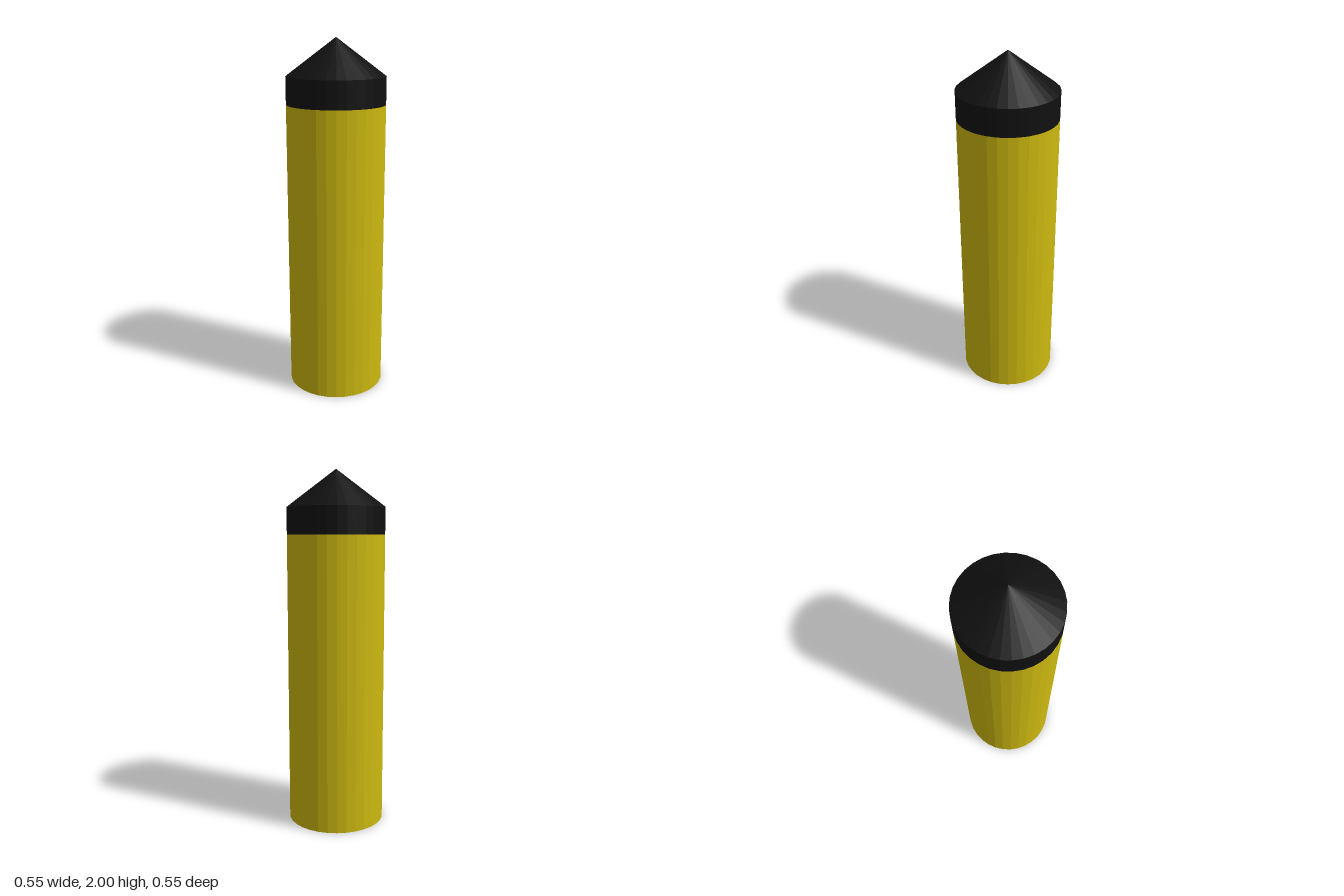
import * as THREE from 'three';

const RADIUS = 0.274;
const SIDES = 32;

export function createModel() {
  const model = new THREE.Group();
  model.name = 'pointedPost';

  const yellow = new THREE.MeshStandardMaterial({ color: 0xccb810, flatShading: true });
  const black = new THREE.MeshStandardMaterial({ color: 0x111111, flatShading: true });

  // Solid of revolution from a list of [radius, height] points
  const addTurned = (name, profile, material) => {
    const points = profile.map(([r, y]) => new THREE.Vector2(r, y));
    const mesh = new THREE.Mesh(new THREE.LatheGeometry(points, SIDES), material);
    mesh.name = name;
    model.add(mesh);
  };

  // Tall faceted shaft with a closed base
  addTurned('shaft', [[0, 0], [RADIUS, 0], [RADIUS, 1.645]], yellow);

  // Dark cap: short straight band below a cone
  addTurned('cap', [[RADIUS, 1.645], [RADIUS, 1.795], [0, 2]], black);

  return model;
}
